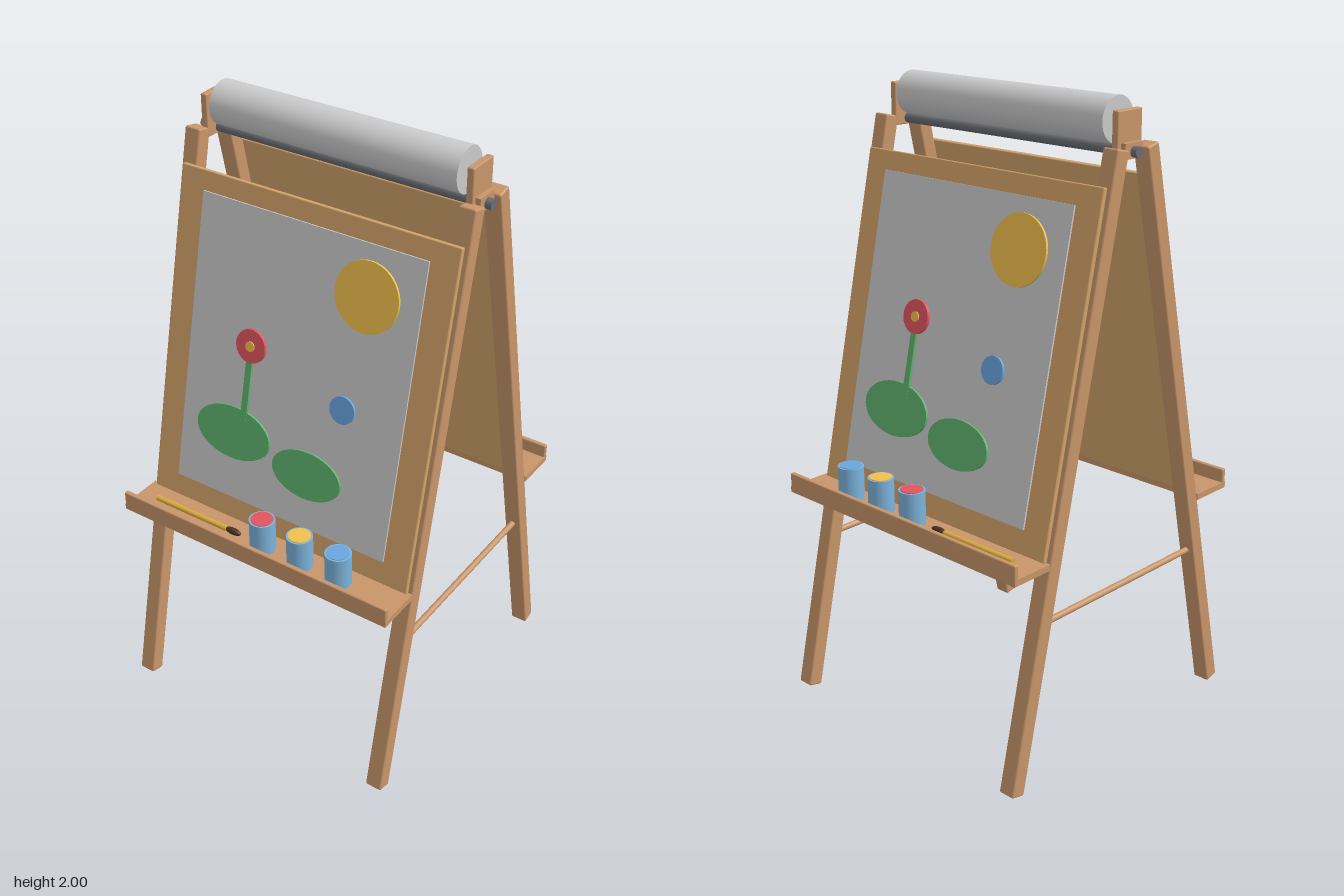
import * as THREE from 'three';
import { RoundedBoxGeometry } from 'three/addons/geometries/RoundedBoxGeometry.js';

const mat = (color) => new THREE.MeshStandardMaterial({ color });
const M = {
  wood: mat(0xc8966a), board: mat(0xd4a46a), grey: mat(0xcccccc), metal: mat(0x6a6d74),
  green: mat(0x5fb36e), red: mat(0xe0555f), yellow: mat(0xf0c04c), blue: mat(0x6aa5e0),
  cup: mat(0x7db4dc), gold: mat(0xd9ac3c), bristle: mat(0x4a3020),
};
const TILT = 0.2197, COS = Math.cos(TILT), SIN = Math.sin(TILT);

function add(parent, name, geometry, material, x = 0, y = 0, z = 0) {
  const mesh = new THREE.Mesh(geometry, material);
  mesh.name = name;
  mesh.position.set(x, y, z);
  parent.add(mesh);
  return mesh;
}
const box = (w, h, d) => new THREE.BoxGeometry(w, h, d);
const softBox = (w, h, d, r) => new RoundedBoxGeometry(w, h, d, 2, r);
const rodX = (r, len) => new THREE.CylinderGeometry(r, r, len, 24).rotateZ(Math.PI / 2);

// Flat disc facing +z, stretched to an ellipse
function disc(rx, ry, depth) {
  return new THREE.CylinderGeometry(1, 1, depth, 40).rotateX(Math.PI / 2).scale(rx, ry, 1);
}

// Distance along the sloping board for a given height above the floor
const along = (y) => (y - 0.0157) / COS;

function painting(parent) {
  const face = 0.041, paperTop = 0.047;
  const y0 = along(0.795), y1 = along(1.71);
  add(parent, 'paper', box(0.78, y1 - y0, 0.006), M.grey, 0, (y0 + y1) / 2, face + 0.003);
  const spots = [
    ['paintedSun', M.yellow, 0.215, 1.56, 0.107, 0.107, 0.008],
    ['paintedBush', M.green, -0.19, 1.01, 0.138, 0.085, 0.008],
    ['paintedBush', M.green, 0.09, 0.967, 0.124, 0.076, 0.008],
    ['paintedDrop', M.blue, 0.185, 1.21, 0.043, 0.043, 0.008],
    ['flowerPetals', M.red, -0.157, 1.3, 0.053, 0.053, 0.01],
    ['flowerCentre', M.yellow, -0.157, 1.3, 0.016, 0.016, 0.014],
  ];
  for (const [name, m, x, y, rx, ry, d] of spots) {
    add(parent, name, disc(rx, ry, d), m, x, along(y), paperTop + d / 2);
  }
  const s0 = along(1.05), s1 = along(1.27);
  add(parent, 'flowerStem', box(0.022, s1 - s0, 0.009), M.green, -0.157, (s0 + s1) / 2, paperTop + 0.0045);
}

// One leaf of the easel, facing +z; flip mirrors the things on the tray
function easelSide(name, flip) {
  const side = new THREE.Group();
  side.name = name;

  // Sloping frame: legs, board and painting
  const frame = new THREE.Group();
  frame.name = 'slopingFrame';
  frame.position.set(0, 0.0055, 0.48);
  frame.rotation.x = -TILT;
  side.add(frame);
  const legLength = 1.905;
  for (const s of [-1, 1]) {
    add(frame, 'leg', softBox(0.056, legLength, 0.05, 0.006), M.wood, s * 0.467, legLength / 2, 0);
  }
  const b0 = along(0.722), b1 = along(1.77);
  add(frame, 'board', softBox(0.96, b1 - b0, 0.016, 0.004), M.board, 0, (b0 + b1) / 2, 0.033);
  painting(frame);

  // Tray with a raised lip
  add(side, 'trayShelf', box(0.99, 0.02, 0.147), M.wood, 0, 0.71, 0.4235);
  add(side, 'trayLip', softBox(0.99, 0.065, 0.016, 0.004), M.wood, 0, 0.7325, 0.489);

  // Paint cups
  [M.red, M.yellow, M.blue].forEach((paint, i) => {
    const x = flip * i * 0.14;
    add(side, 'paintCup', new THREE.CylinderGeometry(0.041, 0.041, 0.11, 32), M.cup, x, 0.775, 0.424);
    add(side, 'paint', new THREE.CylinderGeometry(0.035, 0.035, 0.004, 32), paint, x, 0.83, 0.424);
  });

  // Brush lying on the tray
  add(side, 'brushHandle', rodX(0.009, 0.28), M.gold, flip * -0.28, 0.73, 0.424);
  add(side, 'brushTip', new THREE.SphereGeometry(1, 20, 14).scale(0.029, 0.011, 0.011), M.bristle, flip * -0.115, 0.731, 0.424);
  return side;
}

export function createModel() {
  const easel = new THREE.Group();
  easel.name = 'doubleSidedEasel';

  easel.add(easelSide('frontSide', 1));
  const back = easelSide('backSide', -1);
  back.rotation.y = Math.PI;
  easel.add(back);

  // Paper roll above the hinge rod
  add(easel, 'paperRoll', new THREE.CylinderGeometry(0.068, 0.068, 0.835, 48).rotateZ(Math.PI / 2), M.grey, 0, 1.932, 0);
  add(easel, 'hingeRod', rodX(0.016, 0.994), M.metal, 0, 1.85, 0);

  for (const s of [-1, 1]) {
    add(easel, 'rollBracket', softBox(0.022, 0.135, 0.106, 0.004), M.wood, s * 0.45, 1.8975, 0);
    add(easel, 'hingeBlock', box(0.016, 0.045, 0.075), M.wood, s * 0.469, 1.853, 0);
    // Spreader between front and back legs
    const spreader = add(easel, 'spreader', new THREE.CylinderGeometry(0.01, 0.01, 0.71, 16), M.wood, s * 0.467, 0.52, 0);
    spreader.rotation.x = Math.PI / 2;
  }
  return easel;
}
